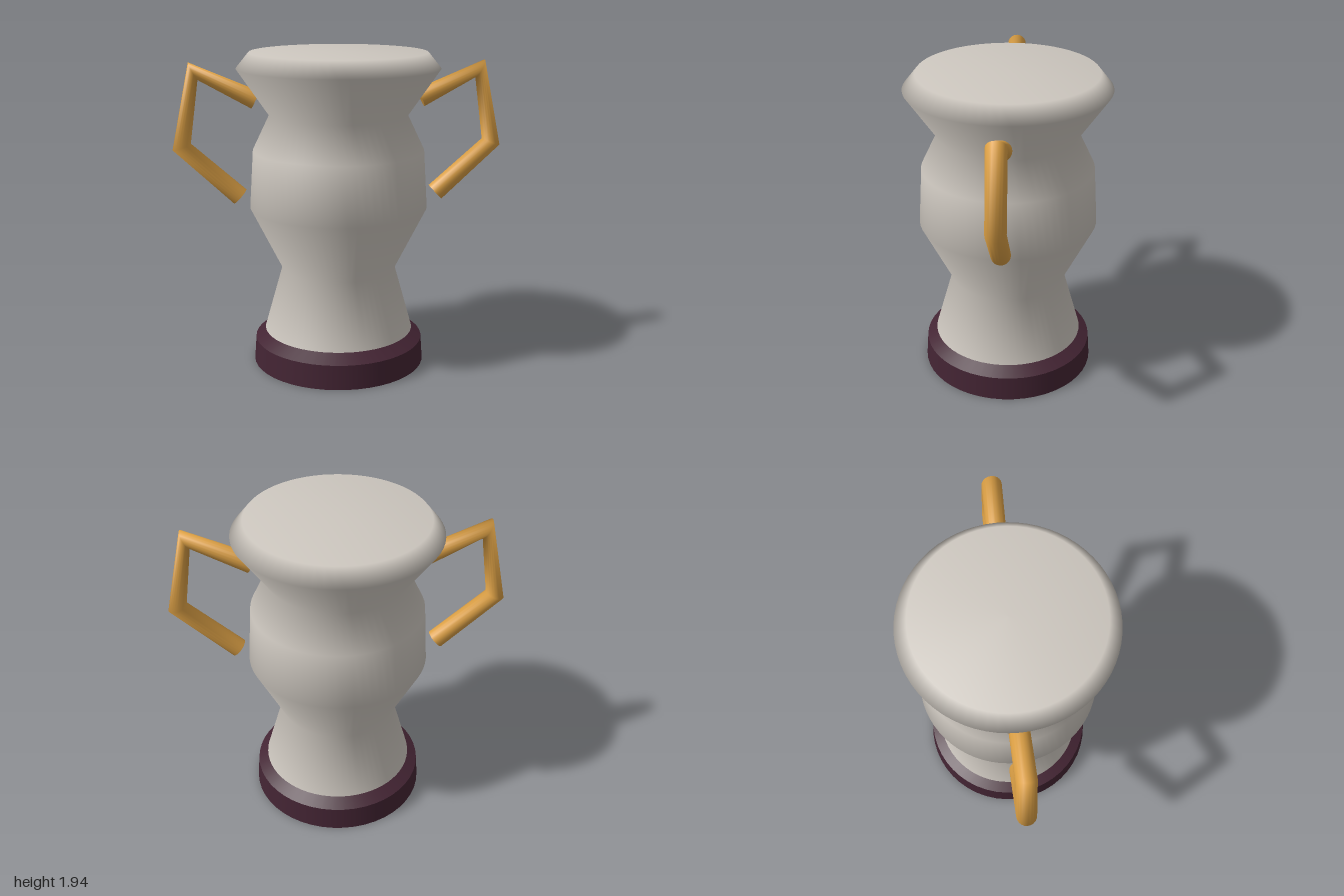
import * as THREE from 'three';

const silver = new THREE.MeshStandardMaterial({ color: 0xcdc7bf });
silver.name = 'silver';
const gold = new THREE.MeshStandardMaterial({ color: 0xdca045 });
gold.name = 'gold';
const plum = new THREE.MeshStandardMaterial({ color: 0x432433 });
plum.name = 'plum';

function addMesh(parent, name, geometry, material) {
  const mesh = new THREE.Mesh(geometry, material);
  mesh.name = name;
  parent.add(mesh);
  return mesh;
}

// Round bar through points in the xy plane, one smooth ring per point, capped ends
function barGeometry(points, radius, sides = 20) {
  const pos = [], index = [];
  const rings = points.map((p, i) => {
    const dir = new THREE.Vector2();
    if (i > 0) dir.add(p.clone().sub(points[i - 1]).normalize());
    if (i < points.length - 1) dir.add(points[i + 1].clone().sub(p).normalize());
    dir.normalize();
    return Array.from({ length: sides }, (_, k) => {
      const a = (k / sides) * Math.PI * 2;
      const c = Math.cos(a) * radius;
      return [p.x - dir.y * c, p.y + dir.x * c, Math.sin(a) * radius];
    });
  });
  rings.forEach((ring) => ring.forEach((v) => pos.push(...v)));
  for (let i = 0; i < rings.length - 1; i++) {
    for (let k = 0; k < sides; k++) {
      const a = i * sides + k, b = i * sides + ((k + 1) % sides);
      index.push(a, b, b + sides, a, b + sides, a + sides);
    }
  }
  // caps have their own vertices so their rims stay sharp
  [0, rings.length - 1].forEach((r, end) => {
    const start = pos.length / 3;
    rings[r].forEach((v) => pos.push(...v));
    for (let k = 1; k < sides - 1; k++) {
      if (end) index.push(start, start + k, start + k + 1);
      else index.push(start, start + k + 1, start + k);
    }
  });
  const g = new THREE.BufferGeometry();
  g.setAttribute('position', new THREE.Float32BufferAttribute(pos, 3));
  g.setIndex(index);
  g.computeVertexNormals();
  return g;
}

export function createModel() {
  const trophy = new THREE.Group();
  trophy.name = 'trophyCup';

  // Stepped plinth: a slightly tapered drum with a bevelled top
  const base = new THREE.Group();
  base.name = 'base';
  trophy.add(base);
  addMesh(base, 'baseDrum', new THREE.CylinderGeometry(0.524, 0.535, 0.15, 48), plum).position.y = 0.075;
  addMesh(base, 'baseBevel', new THREE.CylinderGeometry(0.42, 0.524, 0.055, 48), plum).position.y = 0.1775;

  // Cup body with flared foot, waist, belly, neck and closed rim
  const profile = [
    [0.463, 0.207], [0.351, 0.605], [0.544, 0.995], [0.521, 1.347],
    [0.419, 1.56], [0.612, 1.842], [0.535, 1.936], [0, 1.936],
  ].map(([x, y]) => new THREE.Vector2(x, y));
  addMesh(trophy, 'cupBody', new THREE.LatheGeometry(profile, 64), silver);
  const underside = addMesh(trophy, 'cupUnderside', new THREE.CircleGeometry(0.463, 64), silver);
  underside.rotation.x = Math.PI / 2;
  underside.position.y = 0.207;

  // Two angular handles, the second turned half way round
  const path = [[0.5, 1.655], [0.863, 1.829], [0.945, 1.377], [0.604, 1.064]]
    .map(([x, y]) => new THREE.Vector2(x, y));
  const handle = barGeometry(path, 0.058);
  addMesh(trophy, 'leftHandle', handle, gold);
  addMesh(trophy, 'rightHandle', handle, gold).rotation.y = Math.PI;

  return trophy;
}
